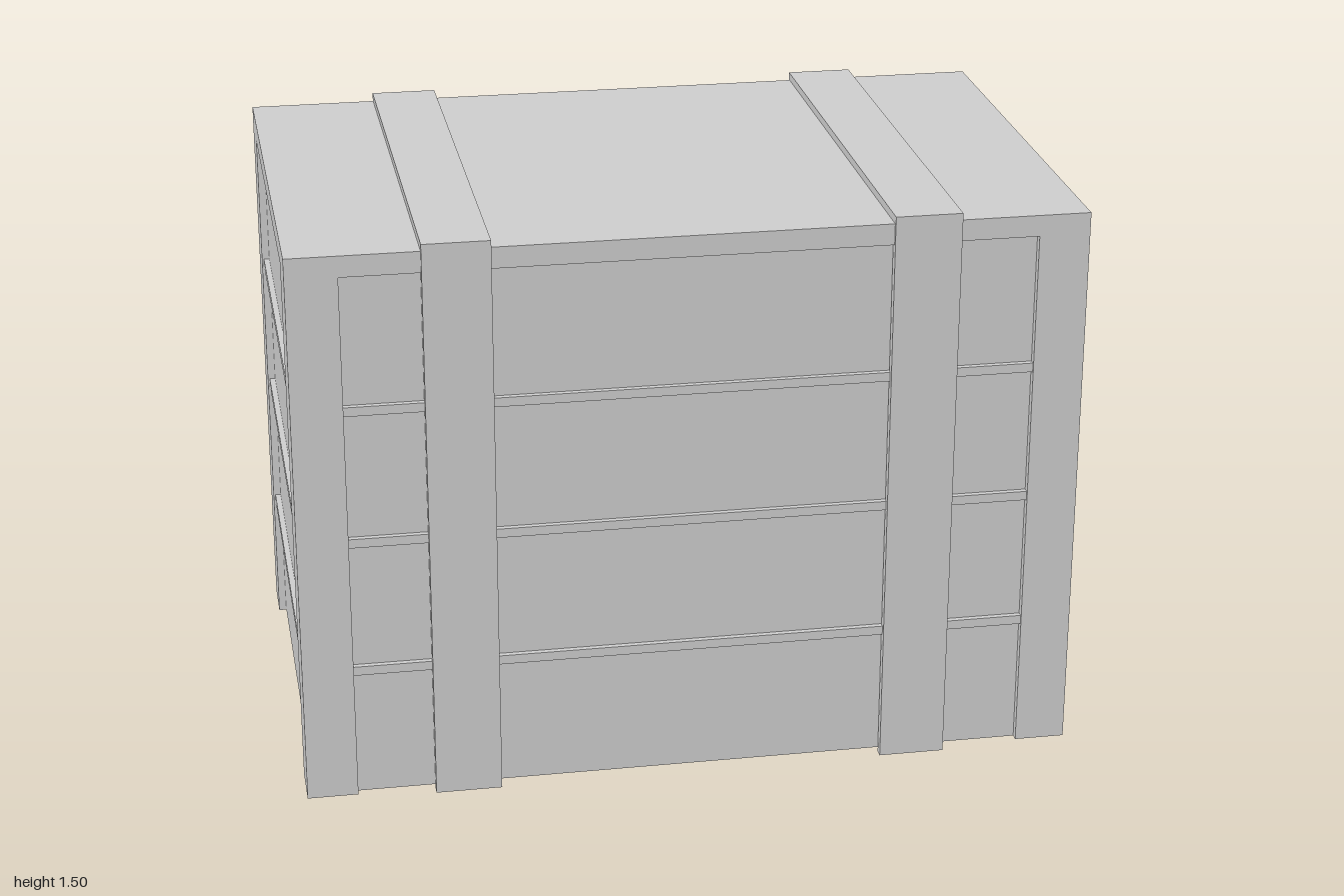
import * as THREE from 'three';

export function createModel() {
  const crate = new THREE.Group();
  crate.name = 'crate';
  const grey = new THREE.MeshStandardMaterial({ color: 0xcccccc });
  grey.name = 'plain grey';

  // Box given by its minimum and maximum corners
  const box = (name, [x0, y0, z0], [x1, y1, z1], parent = crate) => {
    const mesh = new THREE.Mesh(new THREE.BoxGeometry(x1 - x0, y1 - y0, z1 - z0), grey);
    mesh.position.set((x0 + x1) / 2, (y0 + y1) / 2, (z0 + z1) / 2);
    mesh.name = name;
    parent.add(mesh);
  };

  const W = 1, D = 0.62, base = 0.01, top = 1.475;
  const postX = 0.87, postZ = 0.49, frameY = 1.42;
  const recess = 0.02, batten = 0.005;

  // Recessed side panels and floor
  box('panels', [-W + recess, base, -D + recess], [W - recess, frameY + 0.02, D - recess]);

  // Lid with its overhanging rim
  box('lid', [-W, frameY, -D], [W, top, D]);

  // Corner posts
  for (const sx of [-1, 1]) for (const sz of [-1, 1]) {
    const xs = [sx * postX, sx * W].sort((a, b) => a - b);
    const zs = [sz * postZ, sz * D].sort((a, b) => a - b);
    box('cornerPost', [xs[0], base, zs[0]], [xs[1], frameY, zs[1]]);
  }

  // Horizontal battens running around all four panels
  for (const y of [0.348, 0.702, 1.056]) {
    box('battenFrontBack', [-postX, y, -D + batten], [postX, y + 0.024, D - batten]);
    box('battenSides', [-W + batten, y, -postZ], [W - batten, y + 0.024, postZ]);
  }

  // Two straps over the lid and down the front and back
  for (const sx of [-1, 1]) {
    const strap = new THREE.Group();
    strap.name = sx > 0 ? 'leftStrap' : 'rightStrap';
    const [x0, x1] = [sx * 0.5, sx * 0.67].sort((a, b) => a - b);
    const outer = 0.628, inner = 0.605, crown = 1.495;
    box('strapTop', [x0, top - 0.005, -outer], [x1, crown, outer], strap);
    box('strapFront', [x0, 0, inner], [x1, top - 0.005, outer], strap);
    box('strapBack', [x0, 0, -outer], [x1, top - 0.005, -inner], strap);
    crate.add(strap);
  }
  return crate;
}
